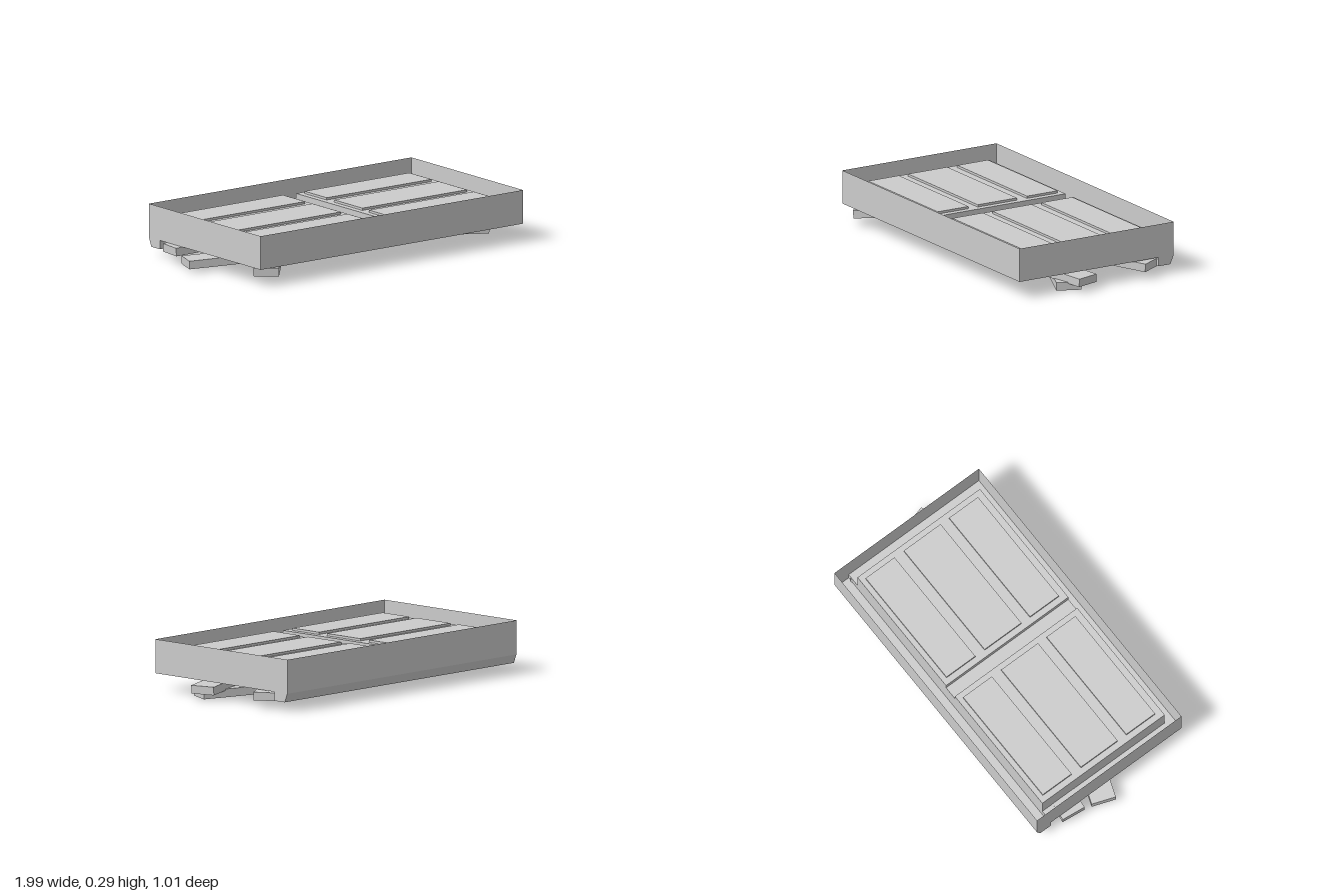
import * as THREE from 'three';

const material = new THREE.MeshStandardMaterial({ color: 0xcccccc, flatShading: true, side: THREE.DoubleSide });

export function createModel() {
  const model = new THREE.Group();

  const add = (name, geometry) => {
    const mesh = new THREE.Mesh(geometry, material);
    mesh.name = name;
    model.add(mesh);
    return mesh;
  };

  // box given by its minimum and maximum corners
  const block = (name, [x0, y0, z0], [x1, y1, z1]) => {
    const mesh = add(name, new THREE.BoxGeometry(x1 - x0, y1 - y0, z1 - z0));
    mesh.position.set((x0 + x1) / 2, (y0 + y1) / 2, (z0 + z1) / 2);
  };

  // sheet swept along x through a [z, y] profile
  const sheet = (name, x0, x1, profile) => {
    const positions = [];
    const index = [];
    for (const [z, y] of profile) positions.push(x0, y, z, x1, y, z);
    for (let i = 0; i < profile.length - 1; i++) {
      const a = i * 2;
      index.push(a, a + 2, a + 1, a + 1, a + 2, a + 3);
    }
    const geometry = new THREE.BufferGeometry();
    geometry.setAttribute('position', new THREE.Float32BufferAttribute(positions, 3));
    geometry.setIndex(index);
    geometry.computeVertexNormals();
    add(name, geometry);
  };

  // flat face in the plane of constant x, from [z, y] corners
  const sideFace = (name, x, corners) => {
    const shape = new THREE.Shape(corners.map(([z, y]) => new THREE.Vector2(-z, y)));
    const mesh = add(name, new THREE.ShapeGeometry(shape));
    mesh.rotation.y = Math.PI / 2;
    mesh.position.x = x;
  };

  const left = -0.91, right = 0.92, top = 0.29, rim = 0.1, lid = 0.195;
  const inL = -0.83, inR = 0.84, front = 0.44, back = -0.41;

  // thin outer walls, with the back folding under as a chamfered ledge
  sheet('frontWall', left, right, [[0.495, top], [0.495, rim], [front, rim]]);
  sheet('backWall', left, right, [[back, 0.05], [-0.487, 0.05], [-0.508, rim], [-0.508, top]]);
  for (const x of [left, right]) {
    sideFace('sideWall', x, [
      [0.495, top], [0.495, rim], [back, rim], [back, 0.05], [-0.487, 0.05], [-0.508, rim], [-0.508, top],
    ]);
  }

  // low side ledges and the hollow raised bed
  sheet('sideLedge', left, inL, [[front, rim], [back, rim], [back, 0.05]]);
  sheet('sideLedge', inR, right, [[front, rim], [back, rim], [back, 0.05]]);
  sheet('bed', inL, inR, [[front, rim], [front, lid], [back, lid], [back, 0.05]]);
  for (const x of [inL, inR]) {
    sideFace('bedSide', x, [[front, rim], [front, lid], [back, lid], [back, rim]]);
  }

  // two framed doors, each with three raised panels
  for (const [x0, x1] of [[inL, -0.04], [0.04, inR]]) {
    block('door', [x0, lid, back], [x1, 0.23, front]);
    for (const [z0, z1] of [[-0.38, -0.18], [-0.115, 0.14], [0.2, 0.4]]) {
      block('doorPanel', [x0 + 0.035, 0.225, z0], [x1 - 0.035, 0.243, z1]);
    }
  }

  // loose planks piled underneath, running from end to end
  const plank = (from, to, width = 0.14, thickness = 0.046) => {
    const a = new THREE.Vector3(...from);
    const b = new THREE.Vector3(...to);
    const mesh = add('plank', new THREE.BoxGeometry(width, thickness, a.distanceTo(b)));
    mesh.position.copy(a).add(b).multiplyScalar(0.5);
    mesh.lookAt(b);
  };
  plank([0.915, 0.024, 0.17], [-0.13, 0.055, -0.285]);
  plank([-0.975, 0.042, -0.095], [0.1, 0.082, 0.29]);
  plank([-0.943, 0.075, -0.28], [0.16, 0.12, -0.16]);
  plank([0.975, 0.058, 0.085], [-0.1, 0.12, 0.38]);
  plank([0.932, 0.068, -0.355], [0, 0.125, 0.18]);
  plank([-0.84, 0.068, 0.455], [-0.15, 0.155, -0.32]);

  return model;
}
